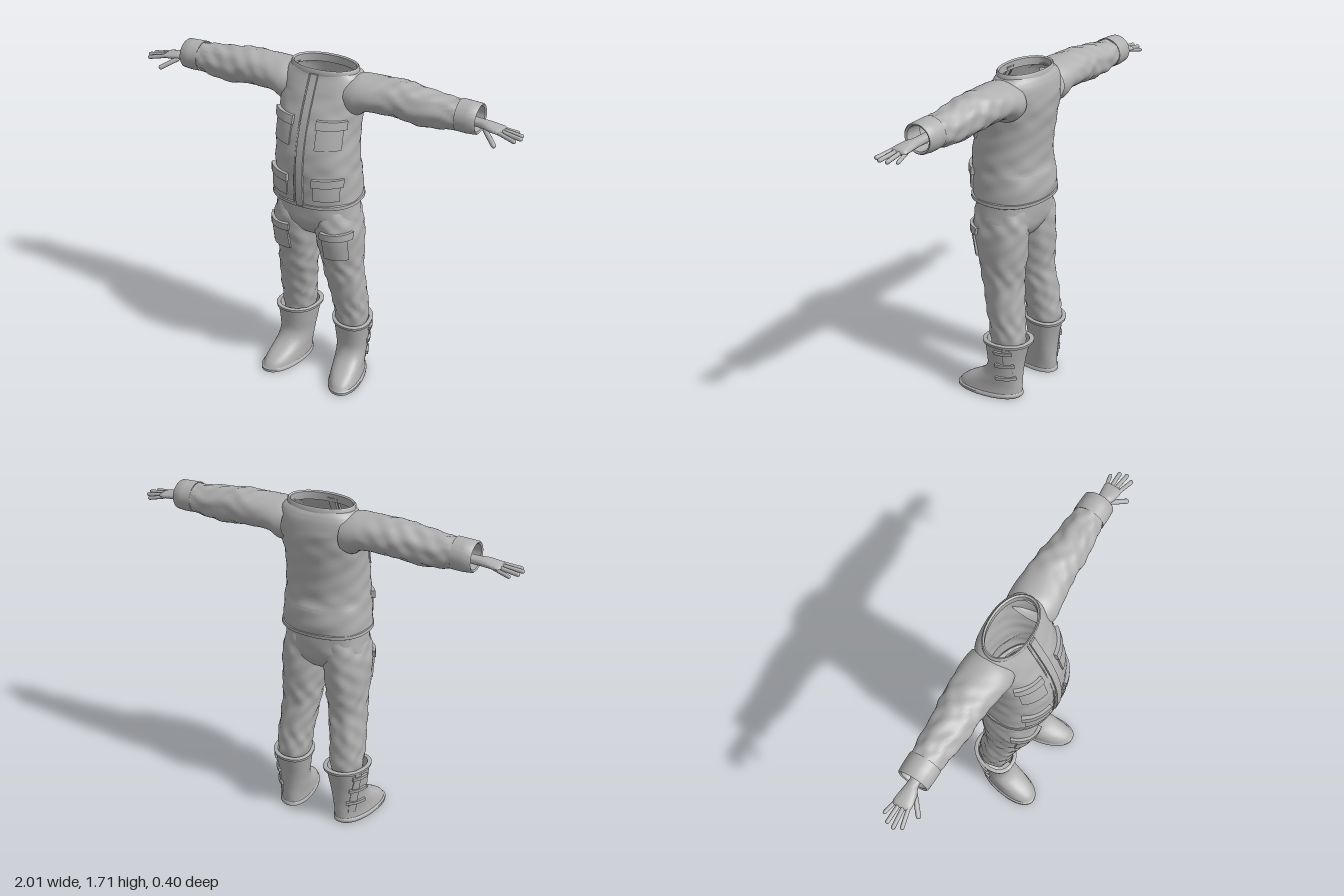
import * as THREE from 'three';
import { toCreasedNormals } from 'three/addons/utils/BufferGeometryUtils.js';

const cloth = new THREE.MeshStandardMaterial({ color: 0xb0b0b0, side: THREE.DoubleSide });
cloth.name = 'plain grey';

// Rings are [position along axis, centre A, centre B, radius A, radius B].
// Turns min/max rows into rings: [t, minA, maxA, minB, maxB].
const spans = rows => rows.map(([t, a0, a1, b0, b1]) =>
  [t, (a0 + a1) / 2, (b0 + b1) / 2, (a1 - a0) / 2, (b1 - b0) / 2]);

// Rounds a list of rings into a denser one
function smoothRings(rings, steps) {
  const out = [];
  const get = i => rings[Math.max(0, Math.min(rings.length - 1, i))];
  for (let i = 0; i < rings.length - 1; i++)
    for (let s = 0; s < steps; s++) {
      const f = s / steps;
      out.push(rings[0].map((_, k) => {
        const [p0, p1, p2, p3] = [get(i - 1)[k], get(i)[k], get(i + 1)[k], get(i + 2)[k]];
        return p1 + 0.5 * f * (p2 - p0 + f * (2 * p0 - 5 * p1 + 4 * p2 - p3 + f * (3 * (p1 - p2) + p3 - p0)));
      }));
    }
  out.push(get(rings.length - 1));
  return out;
}

// Skin over rings; axis 'y' gives (a, t, b), axis 'x' gives (t, a, b)
function loft(rings, { axis = 'y', n = 2, seg = 48, fold = () => 0, skip = () => false } = {}) {
  const pos = [], idx = [];
  const pw = v => Math.sign(v) * Math.abs(v) ** (2 / n);
  rings.forEach(([t, ca, cb, ra, rb]) => {
    for (let j = 0; j < seg; j++) {
      const th = j / seg * Math.PI * 2, d = fold(t, th);
      const a = ca + (ra + d) * pw(Math.cos(th)), b = cb + (rb + d) * pw(Math.sin(th));
      if (axis === 'y') pos.push(a, t, b); else pos.push(t, a, b);
    }
  });
  for (let i = 0; i < rings.length - 1; i++)
    for (let j = 0; j < seg; j++) {
      if (skip(rings[i][0], (j + 0.5) / seg * Math.PI * 2)) continue;
      const k = (j + 1) % seg, a = i * seg + j, b = i * seg + k, c = a + seg, d = b + seg;
      idx.push(a, c, b, b, c, d);
    }
  const g = new THREE.BufferGeometry();
  g.setAttribute('position', new THREE.Float32BufferAttribute(pos, 3));
  g.setIndex(idx);
  if ((rings[0][0] > rings[rings.length - 1][0]) !== (axis === 'x')) g.setIndex(idx.reverse());
  return toCreasedNormals(g, 0.9);
}

// Plate hugging a vertical skin: spans x on the front, or z on the outer side
function plate(rings, n, u0, u1, y0, y1, thick, side = false) {
  const g = new THREE.BoxGeometry(u1 - u0, y1 - y0, 1, 8, Math.ceil((y1 - y0) / 0.02), 1);
  g.translate((u0 + u1) / 2, (y0 + y1) / 2, 0);
  const p = g.attributes.position;
  for (let i = 0; i < p.count; i++) {
    const u = p.getX(i), y = p.getY(i), off = p.getZ(i) > 0 ? thick : -0.012;
    let k = 0;
    while (k < rings.length - 2 && (rings[k][0] - y) * (rings[k + 1][0] - y) > 0) k++;
    const A = rings[k], B = rings[k + 1], f = (y - A[0]) / (B[0] - A[0]);
    const [, ca, cb, ra, rb] = A.map((v, m) => v + (B[m] - v) * f);
    const [cu, ru, cv, rv] = side ? [cb, rb, ca, ra] : [ca, ra, cb, rb];
    const d = THREE.MathUtils.clamp((u - cu) / ru, -0.98, 0.98);
    const h = (1 - Math.abs(d) ** n) ** (1 / n);
    let nu = Math.sign(d) * Math.abs(d) ** (n - 1) / ru, nv = h ** (n - 1) / rv;
    const len = Math.hypot(nu, nv);
    const pu = cu + ru * d + off * nu / len, pv = cv + rv * h + off * nv / len;
    if (side) p.setXYZ(i, pv, y, pu); else p.setXYZ(i, pu, y, pv);
  }
  if (side) g.setIndex([...g.index.array].reverse());
  g.computeVertexNormals();
  return g;
}

function add(parent, name, geometry) {
  const m = new THREE.Mesh(geometry, cloth);
  m.name = name;
  parent.add(m);
  return m;
}

function finger(parent, name, from, to, r) {
  const a = new THREE.Vector3(...from), d = new THREE.Vector3(...to).sub(a);
  const m = add(parent, name, new THREE.CapsuleGeometry(r, d.length() - r, 4, 10));
  m.position.copy(a).addScaledVector(d, 0.5);
  m.quaternion.setFromUnitVectors(new THREE.Vector3(0, 1, 0), d.normalize());
}

// Cloth wrinkles
const wrinkle = amp => (t, th) => amp * (Math.sin(3 * th + 26 * t) * Math.sin(41 * t + 2 * th)
  + 0.6 * Math.sin(7 * th - 17 * t + 2 * Math.sin(23 * t)));

export function createModel() {
  const model = new THREE.Group();
  model.name = 'workSuit';

  // Jacket body, open at the neck and at both armholes
  const body = smoothRings(spans([
    [1.06, -0.222, 0.222, -0.178, 0.188], [1.12, -0.217, 0.217, -0.184, 0.194],
    [1.19, -0.211, 0.211, -0.176, 0.196], [1.23, -0.207, 0.207, -0.166, 0.195],
    [1.31, -0.203, 0.203, -0.168, 0.188], [1.40, -0.200, 0.200, -0.176, 0.169],
    [1.50, -0.205, 0.205, -0.186, 0.135], [1.58, -0.210, 0.210, -0.190, 0.098],
    [1.64, -0.208, 0.208, -0.184, 0.068], [1.675, -0.192, 0.192, -0.172, 0.050],
    [1.695, -0.168, 0.168, -0.158, 0.043]]), 5);
  add(model, 'jacketBody', loft(body, {
    n: 2.3, seg: 64,
    fold: (t, th) => wrinkle(0.0028)(t, th) * (t < 1.6 ? 1 : 0.3),
    skip: (t, th) => t > 1.56 && t < 1.635 && Math.abs(Math.cos(th)) > 0.94,
  }));
  add(model, 'jacketHem', loft(spans([
    [1.06, -0.20, 0.20, -0.15, 0.16], [1.052, -0.222, 0.222, -0.178, 0.188],
    [1.056, -0.228, 0.228, -0.184, 0.194], [1.072, -0.226, 0.226, -0.185, 0.194],
    [1.076, -0.215, 0.215, -0.175, 0.185]]).reverse(), { n: 2.3, seg: 64 }));
  add(model, 'collar', loft(spans([
    [1.685, -0.172, 0.172, -0.163, 0.048], [1.708, -0.172, 0.172, -0.162, 0.050],
    [1.714, -0.166, 0.166, -0.157, 0.045], [1.708, -0.158, 0.158, -0.149, 0.037],
    [1.67, -0.158, 0.158, -0.149, 0.037]]), { n: 2.1, seg: 64 }));
  add(model, 'frontPlacket', plate(body, 2.3, -0.018, 0.018, 1.065, 1.69, 0.011));
  add(model, 'frontSeam', plate(body, 2.3, -0.034, -0.028, 1.065, 1.69, 0.004));

  // Hips
  add(model, 'trouserHips', loft(smoothRings(spans([
    [1.09, -0.200, 0.200, -0.150, 0.158], [1.00, -0.209, 0.209, -0.150, 0.158],
    [0.94, -0.212, 0.212, -0.146, 0.148], [0.89, -0.170, 0.170, -0.125, 0.120],
    [0.85, -0.085, 0.085, -0.090, 0.075], [0.82, -0.004, 0.004, -0.02, 0.01]]), 4),
  { n: 2.4, fold: wrinkle(0.002) }));

  const leg = smoothRings(spans([
    [1.02, 0.015, 0.200, -0.130, 0.135], [0.95, 0.006, 0.216, -0.143, 0.149],
    [0.88, 0.004, 0.224, -0.143, 0.147], [0.80, 0.012, 0.224, -0.140, 0.130],
    [0.70, 0.028, 0.226, -0.132, 0.102], [0.62, 0.038, 0.228, -0.128, 0.082],
    [0.56, 0.046, 0.231, -0.137, 0.062], [0.48, 0.056, 0.234, -0.147, 0.044],
    [0.40, 0.062, 0.236, -0.152, 0.028], [0.33, 0.072, 0.236, -0.158, 0.020],
    [0.29, 0.080, 0.230, -0.150, 0.015]]), 5);

  const arm = smoothRings(spans([
    [0.15, 1.500, 1.680, -0.175, 0.055], [0.19, 1.490, 1.690, -0.180, 0.064],
    [0.24, 1.520, 1.691, -0.178, 0.060], [0.32, 1.524, 1.693, -0.172, 0.048],
    [0.41, 1.518, 1.692, -0.166, 0.038], [0.50, 1.507, 1.684, -0.158, 0.030],
    [0.60, 1.512, 1.674, -0.150, 0.020], [0.70, 1.530, 1.665, -0.138, 0.008],
    [0.73, 1.533, 1.662, -0.135, 0.005]]), 5);

  const boot = smoothRings(spans([
    [0.022, 0.085, 0.248, -0.146, 0.194], [0.045, 0.085, 0.245, -0.146, 0.178],
    [0.07, 0.085, 0.243, -0.146, 0.145], [0.10, 0.084, 0.243, -0.145, 0.092],
    [0.13, 0.083, 0.243, -0.146, 0.052], [0.17, 0.080, 0.244, -0.149, 0.028],
    [0.22, 0.072, 0.249, -0.156, 0.026], [0.31, 0.060, 0.258, -0.176, 0.038]]), 4);
  const sole = spans([[0, 0.17, 0.17, 0.02, 0.02], [0, 0.086, 0.252, -0.146, 0.192],
    [0.004, 0.080, 0.256, -0.151, 0.200], [0.018, 0.080, 0.256, -0.151, 0.200],
    [0.026, 0.088, 0.246, -0.144, 0.188]]);
  const rim = spans([[0.306, 0.064, 0.252, -0.172, 0.034], [0.308, 0.052, 0.264, -0.192, 0.048],
    [0.322, 0.050, 0.266, -0.194, 0.050], [0.326, 0.056, 0.260, -0.188, 0.044],
    [0.324, 0.070, 0.246, -0.172, 0.030], [0.27, 0.078, 0.236, -0.158, 0.020]]);
  // Toes point slightly outwards
  const splay = g => {
    g.applyMatrix4(new THREE.Matrix4().set(1, 0, 0.15, 0.009, 0, 1, 0, 0, 0, 0, 1, 0, 0, 0, 0, 1));
    return g;
  };

  for (const [label, sign] of [['left', 1], ['right', -1]]) {
    const half = new THREE.Group();
    half.name = label + 'Side';
    half.scale.x = sign;
    model.add(half);

    // Sleeve and turned-back cuff
    add(half, 'sleeve', loft(arm, {
      axis: 'x', fold: (t, th) => wrinkle(0.0045)(t, th) * THREE.MathUtils.smoothstep(t, 0.2, 0.4),
    }));
    add(half, 'cuff', loft(spans([
      [0.695, 1.535, 1.662, -0.134, 0.006], [0.690, 1.522, 1.672, -0.144, 0.014],
      [0.740, 1.520, 1.670, -0.144, 0.014], [0.785, 1.524, 1.668, -0.141, 0.012],
      [0.790, 1.529, 1.663, -0.136, 0.007], [0.785, 1.537, 1.655, -0.126, -0.002],
      [0.700, 1.539, 1.653, -0.124, -0.004]]), { axis: 'x' }));

    // Hand
    add(half, 'palm', loft(smoothRings([
      [0.70, 1.585, -0.062, 0.021, 0.025], [0.79, 1.580, -0.060, 0.021, 0.026],
      [0.83, 1.578, -0.054, 0.021, 0.036], [0.87, 1.574, -0.052, 0.018, 0.043],
      [0.90, 1.571, -0.053, 0.014, 0.043], [0.912, 1.570, -0.053, 0.003, 0.03]], 4), { axis: 'x', seg: 24 }));
    finger(half, 'thumb', [0.825, 1.568, -0.032], [0.898, 1.526, 0.030], 0.012);
    finger(half, 'indexFinger', [0.885, 1.573, -0.022], [0.982, 1.556, 0.002], 0.010);
    finger(half, 'middleFinger', [0.885, 1.573, -0.043], [1.0, 1.558, -0.032], 0.010);
    finger(half, 'ringFinger', [0.885, 1.571, -0.064], [0.992, 1.556, -0.068], 0.010);
    finger(half, 'littleFinger', [0.88, 1.568, -0.083], [0.962, 1.552, -0.102], 0.009);

    // Jacket pockets with flaps
    add(half, 'chestPocket', plate(body, 2.3, 0.066, 0.172, 1.365, 1.485, 0.009));
    add(half, 'chestPocketFlap', plate(body, 2.3, 0.060, 0.180, 1.462, 1.502, 0.016));
    add(half, 'lowerPocket', plate(body, 2.3, 0.070, 0.178, 1.105, 1.205, 0.009));
    add(half, 'lowerPocketFlap', plate(body, 2.3, 0.064, 0.186, 1.180, 1.220, 0.016));

    // Trouser leg and cargo pocket
    add(half, 'trouserLeg', loft(leg, { n: 2.2, fold: wrinkle(0.0045) }));
    add(half, 'cargoPocket', plate(leg, 2.2, 0.098, 0.202, 0.760, 0.895, 0.012));
    add(half, 'cargoPocketFlap', plate(leg, 2.2, 0.090, 0.213, 0.880, 0.918, 0.018));

    // Boot with straps on the outer side
    add(half, 'boot', splay(loft(boot, { n: 2.2 })));
    add(half, 'bootSole', splay(loft(sole, { n: 2.2 })));
    add(half, 'bootRim', splay(loft(rim, { n: 2.2 })));
    add(half, 'bootStrip', splay(plate(boot, 2.2, -0.130, -0.100, 0.065, 0.305, 0.006, true)));
    for (const y of [0.125, 0.203, 0.28])
      add(half, 'bootStrap', splay(plate(boot, 2.2, -0.138, -0.058, y - 0.009, y + 0.009, 0.013, true)));
  }
  return model;
}
